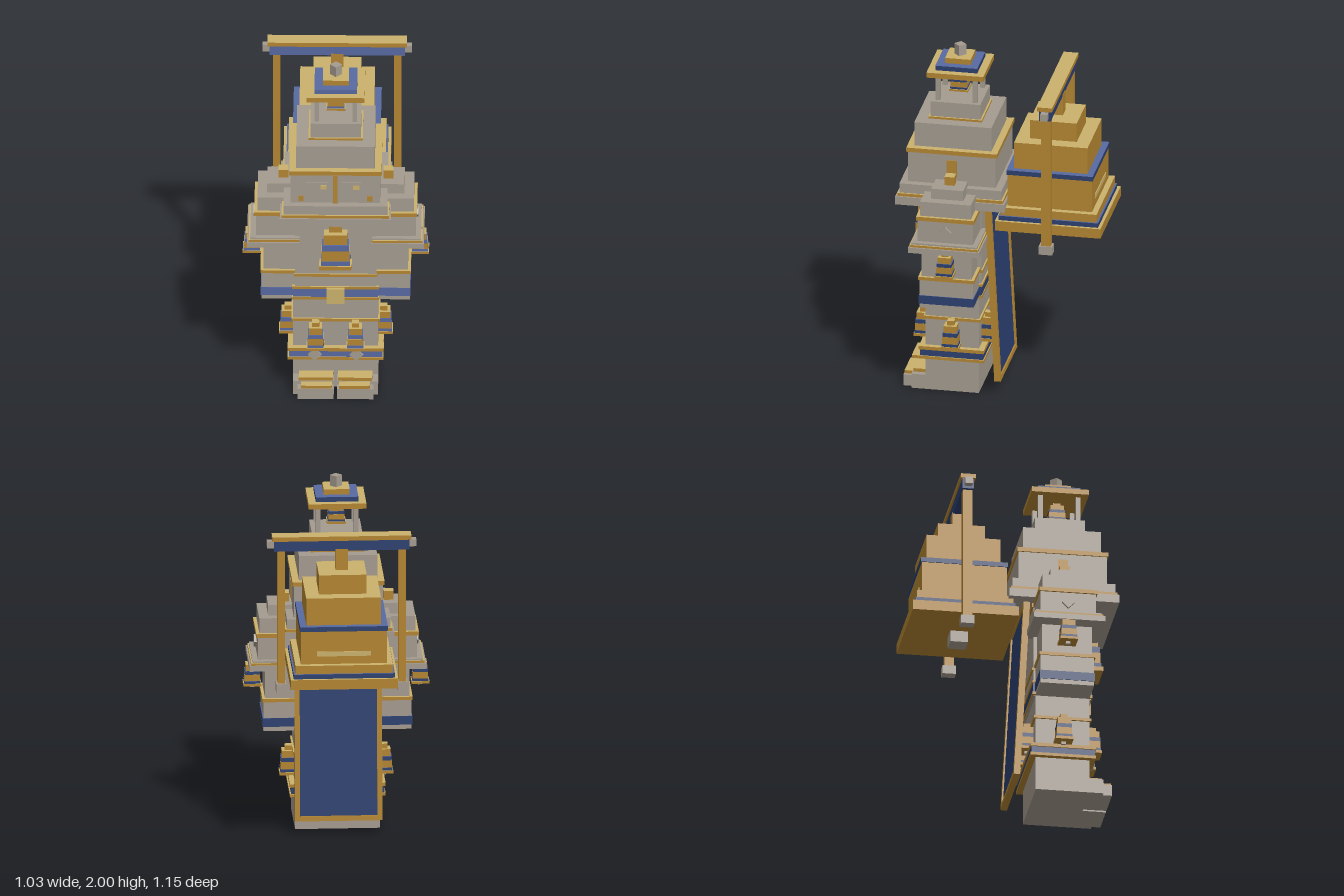
import * as THREE from 'three';

const mat = (name, color) => {
  const m = new THREE.MeshStandardMaterial({ color });
  m.name = name;
  return m;
};

export function createModel() {
  const stone = mat('stone', 0xa59c90);
  const gold = mat('gold', 0xb48632);
  const paleGold = mat('paleGold', 0xcbb26c);
  const navy = mat('navy', 0x2c4070);
  const blue = mat('blue', 0x586aa2);
  // Face order: +x, -x, top, bottom, front, back
  const goldTop = [gold, gold, paleGold, gold, gold, gold];
  const blueBand = [navy, navy, blue, navy, blue, navy];

  const root = new THREE.Group();
  root.name = 'bellTowerGuardian';
  const group = (name, x = 0, y = 0, z = 0, parent = root) => {
    const g = new THREE.Group();
    g.name = name;
    g.position.set(x, y, z);
    parent.add(g);
    return g;
  };
  // Box from half width, bottom, top, half depth, around (x, z)
  const tier = (parent, name, m, hx, y0, y1, hz = hx, x = 0, z = 0) => {
    const mesh = new THREE.Mesh(new THREE.BoxGeometry(hx * 2, y1 - y0, hz * 2), m);
    mesh.name = name;
    mesh.position.set(x, (y0 + y1) / 2, z);
    parent.add(mesh);
    return mesh;
  };

  // Small stepped square bell: fractions of height and of half width
  const bellSteps = [
    ['clapper', stone, 0.25, 0, 0.1],
    ['rim', goldTop, 1, 0.09, 0.18],
    ['lowerBand', blueBand, 0.9, 0.18, 0.27],
    ['bellBody', goldTop, 0.85, 0.27, 0.5],
    ['upperBand', blueBand, 0.83, 0.5, 0.63],
    ['shoulder', goldTop, 0.72, 0.63, 0.85],
    ['crown', goldTop, 0.4, 0.85, 1],
  ];
  const bell = (name, x, y, z, r, h, parent) => {
    const g = group(name, x, y, z, parent);
    for (const [n, m, w, a, b] of bellSteps) tier(g, n, m, w * r, a * h, b * h);
  };

  const body = group('figure', 0, 0, 0.27);

  // Legs and feet
  tier(body, 'legs', stone, 0.235, 0, 0.57, 0.15);
  for (const s of [-1, 1]) {
    tier(body, 'foot', stone, 0.113, 0, 0.085, 0.05, s * 0.122, 0.18);
    tier(body, 'footTrim', goldTop, 0.095, 0.085, 0.105, 0.045, s * 0.108, 0.18);
    tier(body, 'toe', stone, 0.1, 0, 0.065, 0.03, s * 0.11, 0.25);
    tier(body, 'toeTrim', goldTop, 0.085, 0.065, 0.083, 0.028, s * 0.105, 0.249);
  }

  // Skirt belt with hanging bells
  tier(body, 'skirtTrim', goldTop, 0.265, 0.195, 0.212, 0.183);
  tier(body, 'skirtBand', blueBand, 0.258, 0.212, 0.25, 0.178);
  tier(body, 'skirtTopTrim', goldTop, 0.265, 0.25, 0.27, 0.183);
  tier(body, 'hipTrim', goldTop, 0.245, 0.43, 0.447, 0.16);
  for (const s of [-1, 1]) {
    bell('sideSkirtBell', s * 0.265, 0.265, 0, 0.05, 0.18, body);
    for (const f of [-1, 1]) {
      bell('skirtBell', s * 0.11, 0.265, f * 0.183, 0.05, 0.18, body);
    }
    const stud = tier(body, 'beltStud', stone, 0.027, 0.203, 0.257, 0.012, s * 0.115, 0.178);
    stud.rotation.z = Math.PI / 4;
  }

  // Torso and waist belt
  tier(body, 'torso', stone, 0.225, 0.57, 1.11, 0.162);
  tier(body, 'waistLowerTrim', goldTop, 0.24, 0.575, 0.592, 0.168);
  tier(body, 'waistBand', blueBand, 0.235, 0.592, 0.645, 0.165);
  tier(body, 'waistTrim', goldTop, 0.24, 0.645, 0.66, 0.17);
  tier(body, 'buckle', [gold, gold, paleGold, gold, paleGold, gold], 0.05, 0.56, 0.655, 0.02, 0, 0.167);
  tier(body, 'ribTrim', goldTop, 0.23, 0.725, 0.742, 0.17);
  tier(body, 'chestTrim', goldTop, 0.23, 1.11, 1.135, 0.17);
  bell('chestBell', 0, 0.79, 0.16, 0.09, 0.28, body);

  // Arms and stepped shoulders, mirrored
  const shoulderSteps = [
    ['shoulderEave', stone, 0.489, 0.93, 0.962, 0.2],
    ['shoulderTrim', goldTop, 0.48, 0.962, 0.975, 0.192],
    ['shoulderSill', stone, 0.472, 0.975, 0.985, 0.185],
    ['shoulderBlock', stone, 0.44, 0.985, 1.112, 0.156],
    ['shoulderTopTrim', goldTop, 0.45, 1.112, 1.135, 0.163],
    ['shoulderTier', stone, 0.432, 1.135, 1.22, 0.143],
    ['shoulderCap', stone, 0.38, 1.22, 1.28, 0.09],
  ];
  for (const s of [-1, 1]) {
    const arm = group(s > 0 ? 'leftArm' : 'rightArm', 0, 0, 0, body);
    const slab = (n, m, outer, y0, y1, hz) =>
      tier(arm, n, m, (outer - 0.2) / 2, y0, y1, hz, s * (outer + 0.2) / 2);
    slab('upperArm', stone, 0.4, 0.75, 0.94, 0.14);
    slab('forearm', stone, 0.41, 0.57, 0.74, 0.15);
    slab('cuffBand', blueBand, 0.414, 0.595, 0.645, 0.154);
    slab('elbowTrim', goldTop, 0.416, 0.738, 0.757, 0.157);
    for (const step of shoulderSteps) slab(...step);
    tier(arm, 'shoulderFinial', goldTop, 0.028, 1.28, 1.33, 0.028, s * 0.29);
    const stud = tier(arm, 'shoulderStud', stone, 0.01, 1.025, 1.075, 0.025, s * 0.445);
    stud.rotation.x = Math.PI / 4;
    bell('armBell', s * 0.465, 0.785, -0.005, 0.05, 0.16, arm);
  }

  // Collar, head and roof tiers
  tier(body, 'collarEave', stone, 0.307, 1.135, 1.183);
  tier(body, 'collarTrim', goldTop, 0.297, 1.183, 1.2);
  tier(body, 'collarTier', stone, 0.287, 1.2, 1.255);
  tier(body, 'head', stone, 0.247, 1.255, 1.435);
  tier(body, 'browTrim', goldTop, 0.255, 1.435, 1.46);
  tier(body, 'headTier', stone, 0.217, 1.46, 1.6);
  tier(body, 'crownTrim', goldTop, 0.15, 1.6, 1.612);
  tier(body, 'crownTier', stone, 0.14, 1.612, 1.7);

  // Face
  tier(body, 'noseBacking', stone, 0.02, 1.255, 1.435, 0.008, 0, 0.247);
  tier(body, 'nose', gold, 0.013, 1.258, 1.44, 0.008, 0, 0.253);
  for (const s of [-1, 1]) {
    tier(body, 'eyeSlot', stone, 0.065, 1.33, 1.385, 0.004, s * 0.1, 0.247);
    tier(body, 'cheekStud', gold, 0.014, 1.268, 1.3, 0.005, s * 0.19, 0.247);
    tier(body, 'ear', gold, 0.006, 1.3, 1.4, 0.028, s * 0.248);
  }
  for (const x of [-0.065, 0.115]) {
    tier(body, 'eye', paleGold, 0.017, 1.343, 1.37, 0.003, x, 0.251);
  }

  // Belfry on top
  for (const x of [-0.105, 0.105]) {
    for (const z of [-0.105, 0.105]) tier(body, 'belfryPost', stone, 0.013, 1.7, 1.85, 0.013, x, z);
  }
  bell('belfryBell', 0, 1.72, 0, 0.053, 0.13, body);
  tier(body, 'belfryRoof', goldTop, 0.16, 1.85, 1.88);
  tier(body, 'belfryBand', blueBand, 0.118, 1.88, 1.907);
  tier(body, 'belfryCap', goldTop, 0.072, 1.907, 1.938);
  tier(body, 'spire', stone, 0.024, 1.938, 2.0).rotation.y = Math.PI / 4;

  // Leaning back banner: cloth and frame
  const banner = group('backBanner', 0, 0.61, 0.042);
  banner.rotation.x = 0.053;
  tier(banner, 'cloth', navy, 0.22, -0.51, 0.51, 0.009);
  for (const s of [-1, 1]) {
    tier(banner, 'frameSide', gold, 0.014, -0.53, 0.53, 0.018, s * 0.228);
    tier(banner, 'frameEnd', gold, 0.228, s * 0.516 - 0.014, s * 0.516 + 0.014, 0.018);
  }

  // Great bell carried behind
  const great = group('greatBell', 0, 0, -0.279);
  tier(great, 'greatClapper', stone, 0.05, 0.955, 1.02);
  tier(great, 'greatRim', goldTop, 0.297, 1.02, 1.077);
  tier(great, 'greatLowerBand', blueBand, 0.28, 1.077, 1.103);
  tier(great, 'greatSkirt', goldTop, 0.27, 1.103, 1.15);
  tier(great, 'greatBody', goldTop, 0.238, 1.15, 1.338);
  tier(great, 'greatUpperBand', blueBand, 0.243, 1.338, 1.365);
  tier(great, 'greatShoulder', goldTop, 0.207, 1.365, 1.52);
  tier(great, 'greatCrown', goldTop, 0.132, 1.52, 1.63);
  tier(great, 'greatNeck', gold, 0.035, 1.63, 1.75);
  tier(great, 'greatPlaque', paleGold, 0.15, 1.195, 1.222, 0.004, 0, -0.238);

  // Yoke: beam, end knobs and hanging posts
  tier(great, 'beam', blueBand, 0.375, 1.74, 1.8, 0.032);
  tier(great, 'beamCap', goldTop, 0.385, 1.8, 1.825, 0.042);
  for (const s of [-1, 1]) {
    tier(great, 'beamKnob', stone, 0.02, 1.755, 1.795, 0.02, s * 0.393);
    tier(great, 'yokePost', gold, 0.02, 0.975, 1.74, 0.027, s * 0.335);
    tier(great, 'postFoot', stone, 0.028, 0.925, 0.975, 0.038, s * 0.335);
  }
  return root;
}
